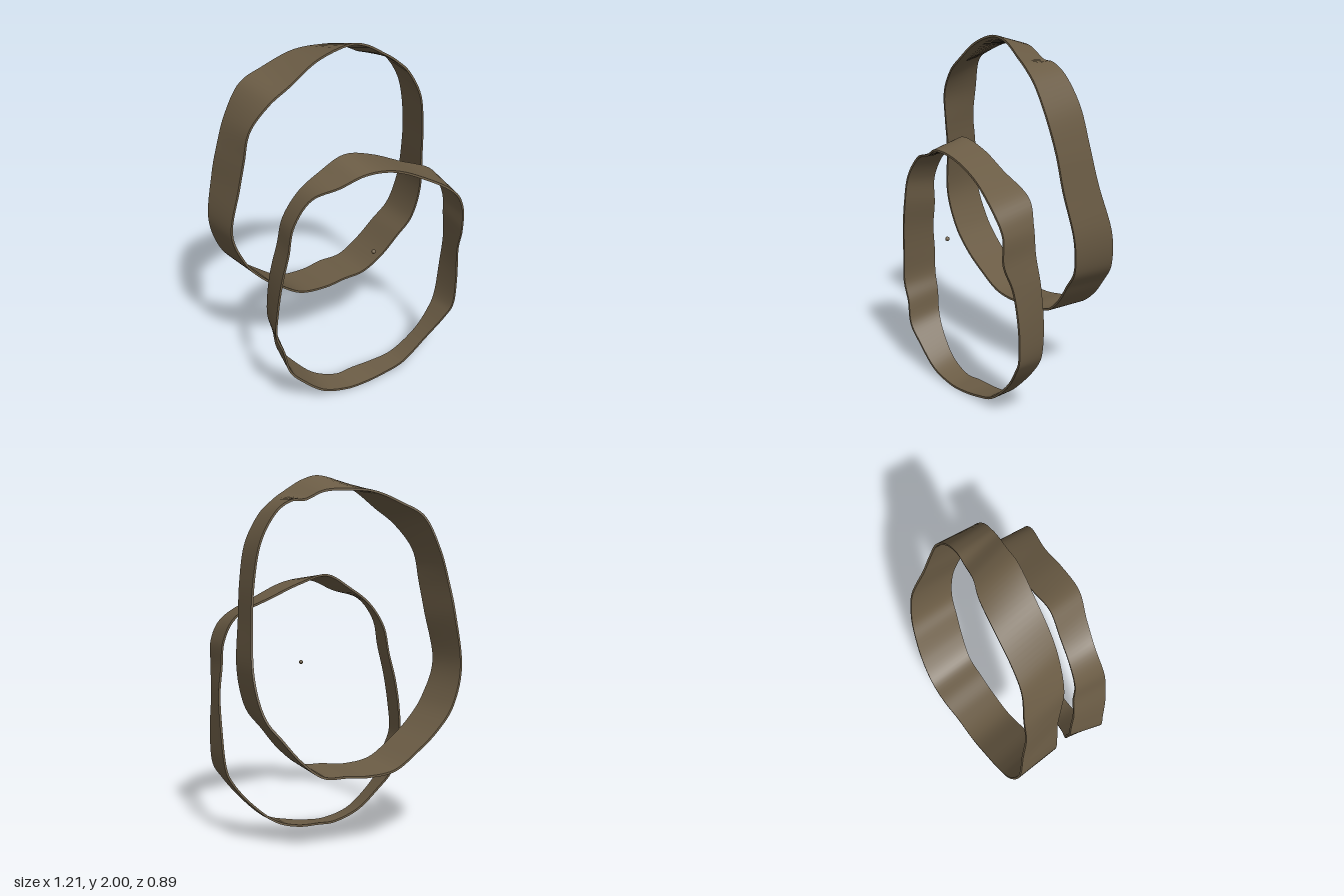
import * as THREE from 'three';

// Each row: front edge x, y, front z, back z, radial flare of the back edge
const rearRows = [
  [0.02, 2.0, 0.04, -0.2, -0.07], [0.13, 1.98, 0.05, -0.16, -0.06],
  [0.23, 1.92, 0.07, -0.14, -0.045], [0.3, 1.87, 0.08, -0.13, 0],
  [0.38, 1.79, 0.09, -0.13, 0.02],
  [0.46, 1.64, 0.09, -0.14, 0.03], [0.505, 1.45, 0.06, -0.16, 0.03],
  [0.53, 1.25, 0.03, -0.2, 0.035], [0.565, 1.0, -0.02, -0.28, 0.035],
  [0.54, 0.8, -0.06, -0.33, 0.03], [0.46, 0.68, -0.09, -0.37, 0.03],
  [0.37, 0.56, -0.12, -0.4, 0.025], [0.26, 0.47, -0.15, -0.42, 0.02],
  [0.13, 0.455, -0.16, -0.43, 0.015], [0, 0.44, -0.165, -0.425, 0.015],
  [-0.16, 0.46, -0.17, -0.43, 0.02], [-0.3, 0.55, -0.17, -0.435, 0.02],
  [-0.42, 0.65, -0.17, -0.44, 0.02], [-0.52, 0.78, -0.17, -0.44, 0.02],
  [-0.59, 0.98, -0.17, -0.42, 0.01], [-0.55, 1.25, -0.14, -0.385, 0.03],
  [-0.53, 1.42, -0.11, -0.35, 0.03], [-0.505, 1.6, -0.08, -0.33, 0.01],
  [-0.41, 1.74, -0.04, -0.29, 0.05], [-0.3, 1.83, -0.01, -0.26, 0.03],
  [-0.15, 1.94, 0.01, -0.235, -0.02],
];
const frontRows = [
  [-0.08, 1.42, 0.36, 0.16, 0.035], [0.08, 1.405, 0.375, 0.165, 0.01],
  [0.25, 1.33, 0.39, 0.19, 0.01], [0.43, 1.22, 0.44, 0.21, 0.035],
  [0.505, 1.1, 0.44, 0.24, 0.02], [0.51, 0.95, 0.44, 0.24, 0.03],
  [0.53, 0.8, 0.39, 0.225, 0.03], [0.55, 0.6, 0.37, 0.2, 0.01],
  [0.545, 0.42, 0.36, 0.19, 0], [0.5, 0.33, 0.34, 0.19, 0.01],
  [0.4, 0.2, 0.3, 0.19, 0.005], [0.26, 0.075, 0.28, 0.16, 0],
  [0.13, 0.035, 0.27, 0.13, 0], [0, 0.015, 0.26, 0.12, -0.015],
  [-0.12, 0.015, 0.25, 0.12, -0.015], [-0.27, 0.06, 0.24, 0.1, -0.03],
  [-0.4, 0.17, 0.23, 0.07, -0.04], [-0.48, 0.27, 0.23, 0.04, -0.045],
  [-0.51, 0.4, 0.22, 0.03, -0.05], [-0.55, 0.52, 0.215, 0.025, -0.06],
  [-0.54, 0.68, 0.22, 0.03, -0.05], [-0.52, 0.85, 0.235, 0.05, -0.045],
  [-0.485, 1.02, 0.25, 0.065, -0.05], [-0.45, 1.18, 0.25, 0.085, -0.045],
  [-0.35, 1.31, 0.26, 0.105, -0.03], [-0.21, 1.36, 0.31, 0.13, 0.02],
];

// Closed hoop of thin strip, swept between a front and a back edge curve
function bandGeometry(rows, centreY, thickness = 0.012, steps = 160) {
  // Edge curve moved outwards from the hoop's centre
  const edge = (z, flare, offset) => new THREE.CatmullRomCurve3(rows.map((r) => {
    const k = 1 + (flare * r[4] + offset) / Math.hypot(r[0], r[1] - centreY);
    return new THREE.Vector3(r[0] * k, centreY + (r[1] - centreY) * k, r[z]);
  }), true, 'catmullrom', 0.5);
  const t = thickness / 2;
  const corners = [edge(2, 0, t), edge(3, 1, t), edge(3, 1, -t), edge(2, 0, -t)];

  // Four strips: outer face, back rim, inner face, front rim
  const positions = [], index = [];
  corners.forEach((from, c) => {
    const to = corners[(c + 1) % 4], base = positions.length / 3;
    for (let i = 0; i < steps; i++) {
      const a = from.getPoint(i / steps), b = to.getPoint(i / steps);
      positions.push(a.x, a.y, a.z, b.x, b.y, b.z);
      const q = base + i * 2, n = base + ((i + 1) % steps) * 2;
      index.push(q, n, q + 1, n, n + 1, q + 1);
    }
  });
  const geometry = new THREE.BufferGeometry();
  geometry.setAttribute('position', new THREE.Float32BufferAttribute(positions, 3));
  geometry.setIndex(index);
  geometry.computeVertexNormals();
  return geometry;
}

export function createModel() {
  const group = new THREE.Group();
  const brown = new THREE.MeshStandardMaterial({ color: 0x6b5c45, side: THREE.DoubleSide });
  brown.name = 'dull brown';
  const add = (name, geometry) => {
    const mesh = new THREE.Mesh(geometry, brown);
    mesh.name = name;
    group.add(mesh);
    return mesh;
  };

  // Two uneven hoops, one behind the other
  add('rearBand', bandGeometry(rearRows, 1.2));
  add('frontBand', bandGeometry(frontRows, 0.73));

  // Small bead floating inside the front hoop
  add('bead', new THREE.SphereGeometry(0.012, 12, 8)).position.set(-0.015, 0.942, 0.345);

  return group;
}
